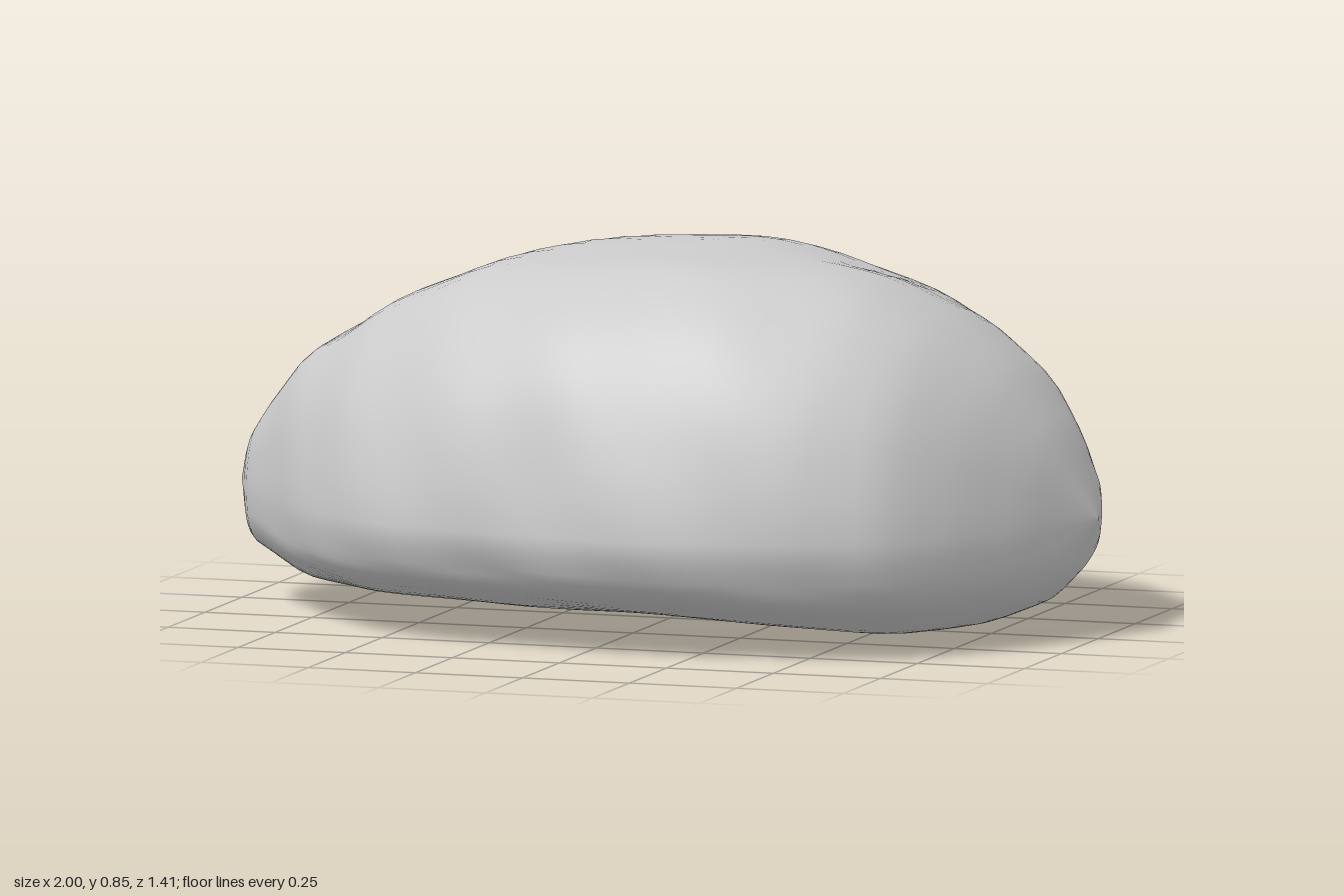
import * as THREE from 'three';

// Outlines along the length of the boulder: [x, value]
const BACK = [[-1, 0], [-0.95, -0.17], [-0.8, -0.38], [-0.6, -0.5], [-0.4, -0.59], [-0.17, -0.68], [0.12, -0.71],
  [0.3, -0.68], [0.5, -0.6], [0.7, -0.48], [0.85, -0.33], [0.95, -0.18], [1, 0]];
const FRONT = [[-1, 0], [-0.95, 0.12], [-0.75, 0.38], [-0.6, 0.53], [-0.45, 0.61], [-0.3, 0.65], [0, 0.7],
  [0.3, 0.685], [0.5, 0.64], [0.68, 0.55], [0.8, 0.4], [0.9, 0.23], [1, 0]];
const TOP = [[-1, 0.27], [-0.97, 0.36], [-0.9, 0.46], [-0.8, 0.58], [-0.6, 0.7], [-0.35, 0.8], [-0.1, 0.845],
  [0.15, 0.865], [0.3, 0.845], [0.55, 0.79], [0.7, 0.71], [0.83, 0.6], [0.92, 0.47], [1, 0.27]];
const BOTTOM = [[-1, 0.27], [-0.96, 0.13], [-0.8, 0.06], [-0.6, 0.04], [-0.2, 0.035], [0.1, 0.03], [0.3, 0.015],
  [0.6, 0], [0.75, 0.025], [0.88, 0.08], [0.95, 0.15], [1, 0.27]];
const WAIST = 0.27;

// Cross-section: u from back (-1) to front (1), v from underside (-1) to crown (1)
const SECTION = [[1, 0], [0.96, 0.3], [0.87, 0.58], [0.72, 0.81], [0.52, 0.96], [0.2, 1], [0, 0.99], [-0.36, 0.92],
  [-0.57, 0.82], [-0.79, 0.58], [-0.95, 0.33], [-1, 0], [-0.96, -0.37], [-0.86, -0.63], [-0.43, -0.92],
  [-0.14, -1], [0.43, -0.9], [0.71, -0.74], [0.9, -0.55], [0.97, -0.3]];

function lookup(table, x) {
  let i = 1;
  while (i < table.length - 1 && x > table[i][0]) i++;
  const [x0, v0] = table[i - 1], [x1, v1] = table[i];
  return v0 + (v1 - v0) * THREE.MathUtils.clamp((x - x0) / (x1 - x0), 0, 1);
}

// Averaged lookup that rounds the corners of an outline
function smooth(table, x) {
  const d = 0.06 * (1 - x * x);
  return (lookup(table, x - d) + 2 * lookup(table, x) + lookup(table, x + d)) / 4;
}

// Gentle weathered dents
function dent(x, y, z) {
  return 0.006 * Math.sin(7 * x + 3 * y + 2 * Math.sin(5 * z))
    + 0.005 * Math.sin(9 * z - 6 * y + 2 * Math.sin(6 * x + 1))
    + 0.003 * Math.sin(17 * x + 11 * z + 13 * y);
}

function boulderGeometry(slices = 56, around = 72) {
  const curve = new THREE.CatmullRomCurve3(SECTION.map(([u, v]) => new THREE.Vector3(u, v, 0)), true);
  const ring = curve.getSpacedPoints(around).slice(0, around);
  const positions = [-1, WAIST, 0], index = [];

  for (let i = 1; i < slices; i++) {
    const x = -Math.cos(Math.PI * i / slices);
    const front = smooth(FRONT, x), back = -smooth(BACK, x);
    const rise = smooth(TOP, x) - WAIST, drop = WAIST - smooth(BOTTOM, x);
    for (const p of ring) {
      const z = p.x * (p.x > 0 ? front : back);
      const y = WAIST + p.y * (p.y > 0 ? rise : drop);
      // dents push along the section and fade at the tips and underside
      const push = dent(x, y, z) * Math.sqrt(1 - x * x) * (p.y < -0.5 ? 0.3 : 1);
      positions.push(x, Math.max(0, y + p.y * push), z + p.x * push);
    }
  }
  const last = positions.length / 3;
  positions.push(1, WAIST, 0);

  for (let k = 0; k < around; k++) {
    const n = (k + 1) % around;
    index.push(0, 1 + k, 1 + n);
    for (let i = 0; i < slices - 2; i++) {
      const a = 1 + i * around, b = a + around;
      index.push(a + k, b + k, a + n, b + k, b + n, a + n);
    }
    const e = last - around;
    index.push(e + k, last, e + n);
  }

  const geometry = new THREE.BufferGeometry();
  geometry.setAttribute('position', new THREE.Float32BufferAttribute(positions, 3));
  geometry.setIndex(index);
  geometry.computeVertexNormals();
  return geometry;
}

export function createModel() {
  const group = new THREE.Group();
  group.name = 'rock';
  const boulder = new THREE.Mesh(boulderGeometry(), new THREE.MeshStandardMaterial({ color: 0xcccccc }));
  boulder.name = 'boulder';
  group.add(boulder);
  return group;
}
